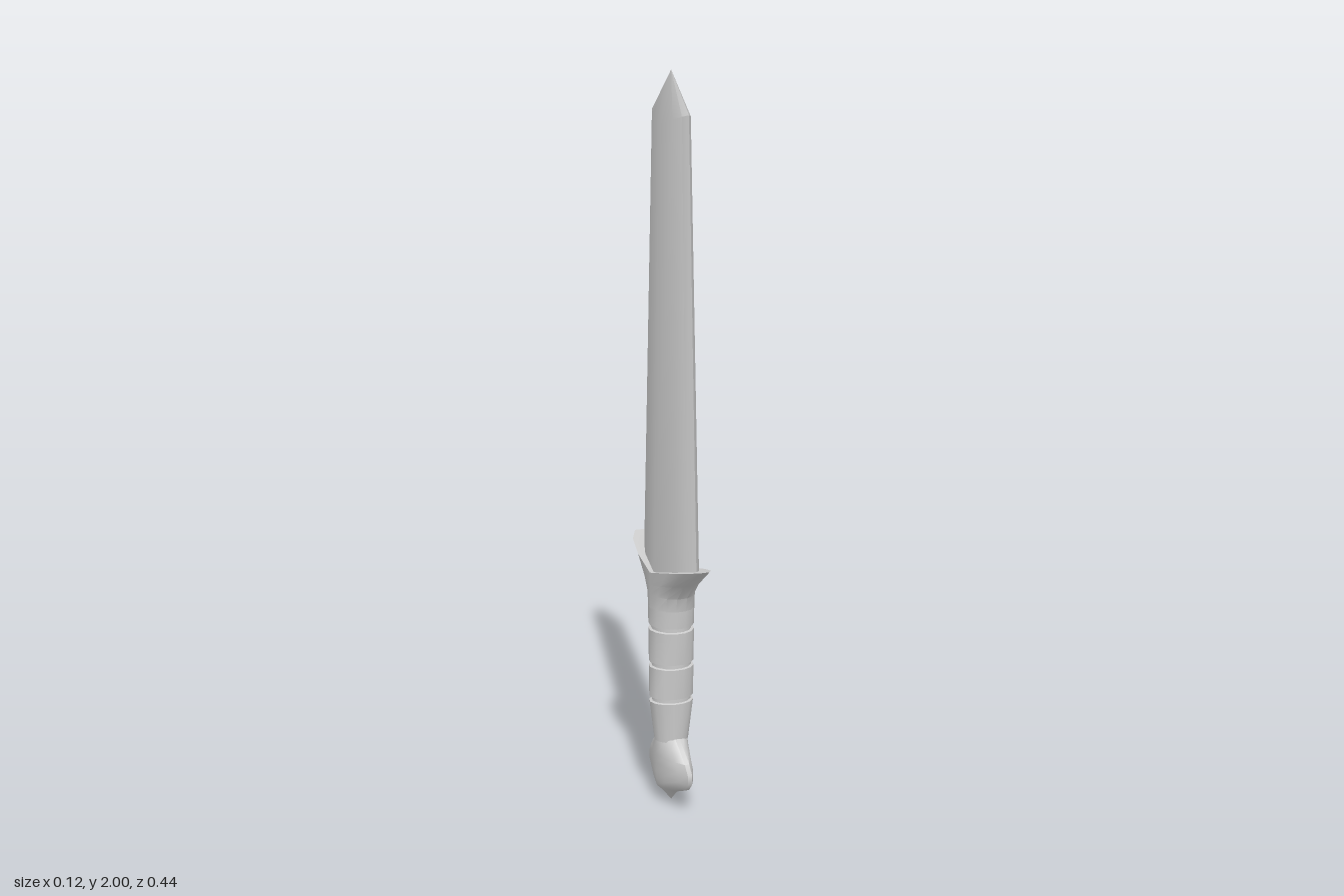
import * as THREE from 'three';
import { toCreasedNormals } from 'three/addons/utils/BufferGeometryUtils.js';

// Quarter outlines as fractions of the half sizes [x, z]
const OVAL = [[1, 0], [0.89, 0.45], [0.61, 0.81], [0.23, 1]];
const LENS = [[1, 0], [0.85, 0.35], [0.52, 0.75], [0.14, 1]];
const DIAMOND = [[1, 0], [0.69, 0.57], [0.35, 0.86], [0, 1]];

// Mirrors a quarter outline into a closed loop
function outline(quarter) {
  const half = [...quarter];
  for (const [x, z] of [...quarter].reverse()) if (x > 0) half.push([-x, z]);
  return half.concat(half.slice(1, -1).reverse().map(([x, z]) => [x, -z]));
}

// Skins rings [y, halfX, halfZ, lift at the z ends]; the caps meet at bottomY and topY
function loft(name, quarter, rings, bottomY, topY, crease) {
  const loop = outline(quarter), n = loop.length;
  const pos = [], index = [];
  for (const [y, hx, hz, lift = 0] of rings) {
    for (const [x, z] of loop) pos.push(x * hx, y + lift * Math.abs(z), z * hz);
  }
  const bottom = rings.length * n, top = bottom + 1, last = (rings.length - 1) * n;
  pos.push(0, bottomY, 0, 0, topY, 0);
  for (let j = 0; j < n; j++) {
    const k = (j + 1) % n;
    for (let i = 0; i < last; i += n) {
      index.push(i + j, i + n + j, i + k, i + k, i + n + j, i + n + k);
    }
    index.push(bottom, j, k, top, last + k, last + j);
  }
  const geometry = new THREE.BufferGeometry();
  geometry.setAttribute('position', new THREE.Float32BufferAttribute(pos, 3));
  geometry.setIndex(index);
  const mesh = new THREE.Mesh(
    toCreasedNormals(geometry, crease),
    new THREE.MeshStandardMaterial({ color: 0xcccccc })
  );
  mesh.name = name;
  return mesh;
}

export function createModel() {
  const group = new THREE.Group();
  group.name = 'shortSword';

  // Tapered blade with bevelled edges and a pointed tip
  group.add(loft('blade', DIAMOND, [
    [0.65, 0.051, 0.17, 0.045],
    [1.86, 0.035, 0.115, 0.035],
  ], 0.65, 2, 0.45));

  // Flared guard with a shallow V-shaped top
  group.add(loft('guard', OVAL, [
    [0.56, 0.062, 0.067],
    [0.6, 0.062, 0.075],
    [0.625, 0.062, 0.12, 0.022],
    [0.66, 0.062, 0.222, 0.055],
  ], 0.56, 0.66, 0.6));

  // Grip with three cut grooves
  const gripX = y => y > 0.3 ? 0.062 : 0.047 + (y - 0.18) * 0.125;
  const gripZ = y => 0.043 + (y - 0.18) * 0.062;
  const gripRings = [[0.18, gripX(0.18), gripZ(0.18)]];
  for (const y of [0.3, 0.4, 0.505]) {
    for (const [dy, s] of [[-0.007, 1], [-0.005, 0.88], [0.005, 0.88], [0.007, 1]]) {
      gripRings.push([y + dy, gripX(y) * s, gripZ(y) * s]);
    }
  }
  gripRings.push([0.57, 0.062, 0.068]);
  group.add(loft('grip', OVAL, gripRings, 0.18, 0.57, 0.6));

  // Wide, flattened pommel with a small point below
  group.add(loft('pommel', LENS, [
    [0.03, 0.024, 0.026],
    [0.047, 0.042, 0.065],
    [0.066, 0.044, 0.11],
    [0.088, 0.045, 0.13],
    [0.115, 0.045, 0.13],
    [0.14, 0.046, 0.11],
    [0.168, 0.046, 0.075],
    [0.19, 0.047, 0.045],
  ], 0, 0.19, 0.8));

  return group;
}
